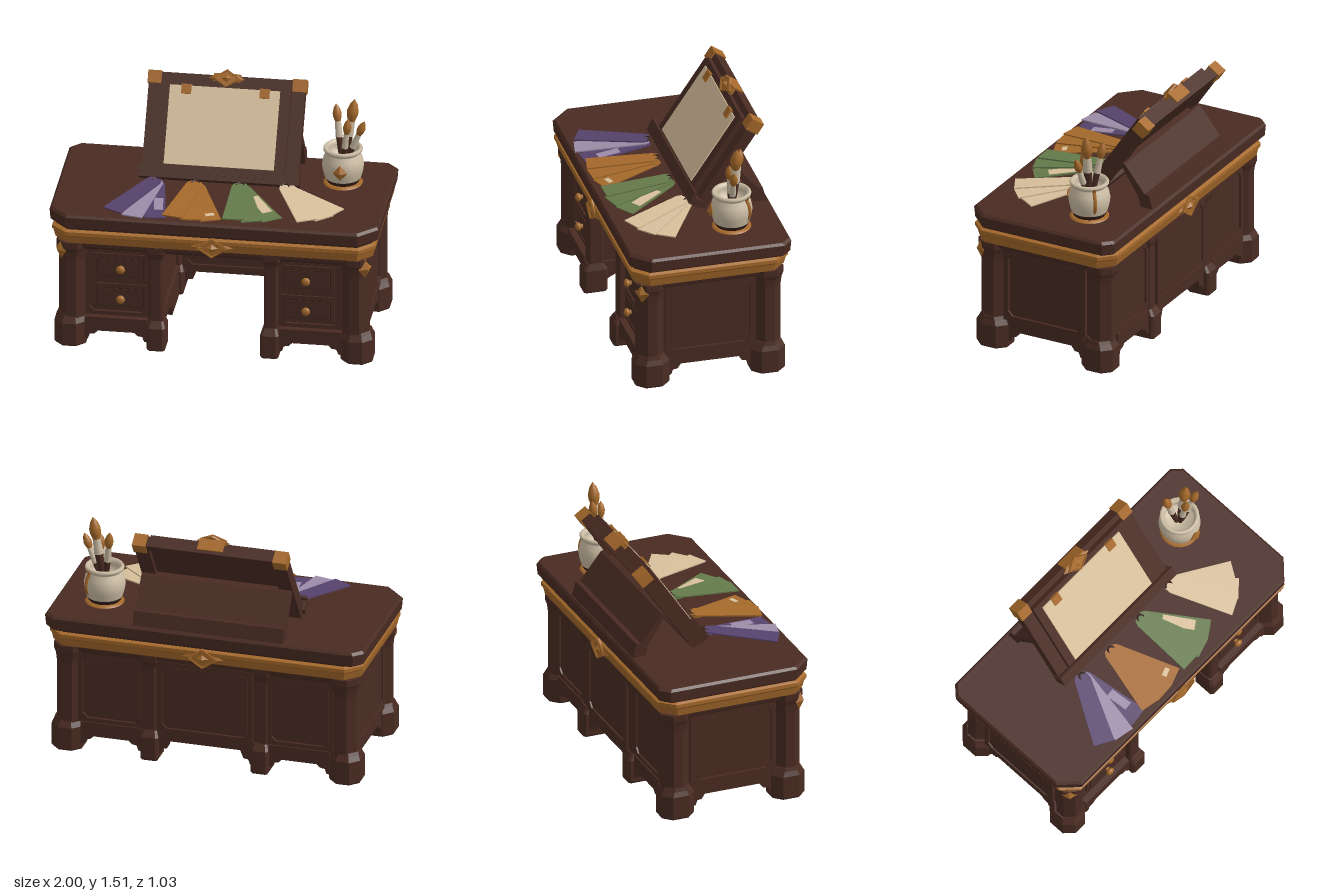
import * as THREE from 'three';

const mat = (name, color) => Object.assign(new THREE.MeshStandardMaterial({ color }), { name });
const wood = mat('brown wood', 0x492b22);
const dark = mat('dark wood', 0x38211b);
const gold = mat('antique gold', 0xa5692a);
const paper = mat('parchment', 0xd8c09c);
const ivory = mat('ivory glaze', 0xcdbea5);
const purple = mat('purple', 0x56426c);
const lilac = mat('lilac', 0x9d8ca8);
const green = mat('green', 0x647a4a);

function add(parent, name, geo, material, x = 0, y = 0, z = 0) {
  const m = new THREE.Mesh(geo, material);
  m.name = name;
  m.position.set(x, y, z);
  parent.add(m);
  return m;
}
// Box given by its limits
function box(parent, name, material, x0, x1, y0, y1, z0, z1) {
  return add(parent, name, new THREE.BoxGeometry(x1 - x0, y1 - y0, z1 - z0), material,
    (x0 + x1) / 2, (y0 + y1) / 2, (z0 + z1) / 2);
}
// Stack of chamfered rectangles, each level = [y, halfX, halfZ, front chamfer, back chamfer]
function loft(levels) {
  const rings = levels.map(([y, a, b, c, k = c]) => [[a, k - b], [a - k, -b], [k - a, -b], [-a, k - b],
    [-a, b - c], [c - a, b], [a - c, b], [a, b - c]].map(([x, z]) => [x, y, z]));
  const v = [], n = 8, top = rings.length - 1;
  for (let i = 0; i < n; i++) {
    const j = (i + 1) % n;
    for (let k = 0; k < top; k++) {
      const a = rings[k][i], b = rings[k][j], c = rings[k + 1][j], d = rings[k + 1][i];
      v.push(...a, ...b, ...c, ...a, ...c, ...d);
    }
    v.push(0, levels[top][0], 0, ...rings[top][i], ...rings[top][j]);
    v.push(0, levels[0][0], 0, ...rings[0][j], ...rings[0][i]);
  }
  const g = new THREE.BufferGeometry();
  g.setAttribute('position', new THREE.Float32BufferAttribute(v, 3));
  g.computeVertexNormals();
  return g;
}
const gem = (w, h, d) => new THREE.OctahedronGeometry(1).scale(w / 2, h / 2, d);
const polygon = pts => new THREE.Shape(pts.map(p => new THREE.Vector2(...p)));
const extrude = (shape, depth) => new THREE.ExtrudeGeometry(shape, { depth, bevelEnabled: false });

// Apron with stepped brackets, centred on its own width
function apron(w, top, bottom) {
  const h = w / 2, left = [[-h, top], [-h, 0.04], [-h + 0.02, 0.045], [-h + 0.03, 0.075],
    [-h + 0.06, 0.08], [-h + 0.08, bottom]];
  return extrude(polygon([...left, ...left.map(([x, y]) => [-x, y]).reverse()]), 0.05);
}
// Solid diamond badge with raised rim, gem and wings, facing +z
function badge(parent, name, w, h) {
  const g = new THREE.Group();
  g.name = name;
  add(g, 'badgePlate', extrude(polygon([[-w * 0.38, 0], [0, -h * 0.55], [w * 0.38, 0], [0, h * 0.55]]), 0.012), gold);
  add(g, 'badgeRim', new THREE.TorusGeometry(0.5, 0.06, 4, 4).scale(w * 0.72, h, 0.2), gold, 0, 0, 0.012);
  add(g, 'badgeGem', gem(w * 0.34, h * 0.5, 0.022), gold, 0, 0, 0.01);
  for (const s of [-1, 1]) add(g, 'badgeWing', gem(w * 0.45, h * 0.5, 0.016), gold, s * w * 0.3);
  parent.add(g);
  return g;
}
// Raised panel: flat field, frame and a dark reveal, facing +z
function panel(parent, name, w, h) {
  const g = new THREE.Group();
  g.name = name;
  const rect = (a, b, c) => [[-a, c - b], [c - a, -b], [a - c, -b], [a, c - b],
    [a, b - c], [a - c, b], [c - a, b], [-a, b - c]];
  const frame = polygon(rect(w / 2, h / 2, 0.001));
  frame.holes.push(new THREE.Path(rect(w / 2 - 0.03, h / 2 - 0.03, 0.03).map(p => new THREE.Vector2(...p))));
  add(g, 'panelFrame', extrude(frame, 0.022), wood);
  add(g, 'panelReveal', extrude(polygon(rect(w / 2 - 0.02, h / 2 - 0.02, 0.02)), 0.004), dark);
  add(g, 'panelField', extrude(polygon(rect(w / 2 - 0.035, h / 2 - 0.035, 0.027)), 0.014), wood);
  parent.add(g);
  return g;
}

function buildDesk(root) {
  add(root, 'deskTop', loft([[0.795, 0.975, 0.475, 0.1, 0.05], [0.81, 0.995, 0.492, 0.11, 0.055],
    [0.877, 1, 0.497, 0.11, 0.055], [0.892, 0.987, 0.485, 0.108, 0.055]]), wood);
  add(root, 'topMoulding', loft([[0.77, 0.955, 0.46, 0.08], [0.8, 0.965, 0.47, 0.08]]), wood);
  add(root, 'goldBand', loft([[0.688, 0.945, 0.445, 0.08], [0.698, 0.965, 0.468, 0.085], [0.745, 0.975, 0.48, 0.09],
    [0.755, 0.982, 0.489, 0.09], [0.778, 0.982, 0.489, 0.09], [0.787, 0.965, 0.472, 0.085]]), gold);
  add(root, 'frieze', loft([[0.635, 0.9, 0.41, 0.06], [0.66, 0.93, 0.435, 0.07], [0.7, 0.94, 0.44, 0.07]]), wood);
  badge(root, 'frontBadge', 0.25, 0.12).position.set(0, 0.735, 0.484);
  const rear = badge(root, 'rearBadge', 0.25, 0.12);
  rear.position.set(0, 0.735, -0.484);
  rear.rotation.y = Math.PI;

  for (const s of [-1, 1]) {
    const ped = new THREE.Group();
    ped.name = s > 0 ? 'leftPedestal' : 'rightPedestal';
    root.add(ped);
    add(ped, 'pedestalBody', new THREE.BoxGeometry(0.56, 0.55, 0.77), wood, s * 0.615, 0.385, -0.015);
    const side = panel(ped, 'sidePanel', 0.56, 0.47);
    side.position.set(s * 0.894, 0.42, 0);
    side.rotation.y = s * Math.PI / 2;
    const back = panel(ped, 'backPanel', 0.42, 0.47);
    back.position.set(s * 0.59, 0.42, -0.399);
    back.rotation.y = Math.PI;
    // Drawers
    panel(ped, 'drawerSurround', 0.41, 0.47).position.set(s * 0.585, 0.42, 0.368);
    for (const y of [0.315, 0.515]) {
      add(ped, 'drawerFront', new THREE.BoxGeometry(0.33, 0.175, 0.04), wood, s * 0.568, y, 0.372);
      add(ped, 'drawerReveal', new THREE.BoxGeometry(0.285, 0.125, 0.006), dark, s * 0.568, y, 0.391);
      add(ped, 'drawerField', new THREE.BoxGeometry(0.273, 0.114, 0.012), wood, s * 0.568, y, 0.392);
      add(ped, 'knobStem', new THREE.CylinderGeometry(0.012, 0.016, 0.03, 8).rotateX(Math.PI / 2), gold, s * 0.563, y, 0.408);
      add(ped, 'knob', new THREE.SphereGeometry(0.027, 10, 8).scale(1, 1, 0.7), gold, s * 0.563, y, 0.425);
    }
    // Posts and feet
    for (const f of [-1, 1]) {
      add(ped, 'cornerPost', loft([[0.15, 0.08, 0.08, 0.05], [0.57, 0.08, 0.08, 0.05],
        [0.62, 0.085, 0.085, 0.05], [0.65, 0.095, 0.095, 0.055], [0.69, 0.095, 0.095, 0.055]]), wood, s * 0.86, 0, f * 0.365);
      add(ped, 'cornerFoot', loft([[0, 0.09, 0.1, 0.05], [0.01, 0.097, 0.107, 0.055], [0.15, 0.097, 0.107, 0.055],
        [0.18, 0.085, 0.09, 0.05], [0.2, 0.08, 0.08, 0.05]]), wood, s * 0.87, 0, f * 0.36);
      add(ped, 'innerPost', loft([[0.15, 0.043, 0.05, 0.012], [0.6, 0.043, 0.05, 0.012],
        [0.64, 0.055, 0.06, 0.012], [0.68, 0.055, 0.06, 0.012]]), wood, s * 0.35, 0, f * 0.38);
      add(ped, 'innerFoot', loft([[0, 0.05, 0.07, 0.012], [0.01, 0.056, 0.076, 0.015], [0.15, 0.056, 0.076, 0.015],
        [0.19, 0.043, 0.05, 0.012]]), wood, s * 0.345, 0, f * 0.388);
      add(ped, 'apron', apron(0.38, 0.19, 0.1), wood, s * 0.59, 0, f * 0.405 - 0.025);
    }
    const sideApron = add(ped, 'sideApron', apron(0.52, 0.19, 0.11), wood, s * 0.88 - 0.025, 0, 0);
    sideApron.rotation.y = Math.PI / 2;
    // Inner apron running into a long rear foot
    const inner = polygon([[-0.34, 0.19], [-0.34, 0.04], [-0.3, 0.08], [-0.24, 0.11], [-0.08, 0.11],
      [-0.03, 0.08], [0.03, 0.07], [0.04, 0], [0.4, 0], [0.4, 0.19]]);
    add(ped, 'innerApron', extrude(inner, 0.06).rotateY(Math.PI / 2), wood, s * 0.345 - 0.03);
    // Gold lozenge on the chamfered front corner
    const lozenge = add(ped, 'cornerLozenge', gem(0.1, 0.13, 0.03), gold, s * 0.924, 0.635, 0.428);
    lozenge.rotation.y = s * Math.PI / 4;
  }
  // Kneehole back
  box(root, 'kneeholeBack', wood, -0.34, 0.34, 0.14, 0.66, -0.42, -0.385);
  panel(root, 'kneeholePanel', 0.6, 0.49).position.set(0, 0.4, -0.386);
  const outer = panel(root, 'middleBackPanel', 0.6, 0.47);
  outer.position.set(0, 0.42, -0.414);
  outer.rotation.y = Math.PI;
  add(root, 'kneeholeApron', apron(0.6, 0.2, 0.13), wood, 0, 0, -0.43);
}

function buildEasel(root) {
  const e = new THREE.Group();
  e.name = 'easel';
  e.position.set(-0.03, 0.92, -0.03);
  e.rotation.x = -0.594;
  root.add(e);
  const frame = polygon([[-0.475, 0], [0.475, 0], [0.475, 0.645], [-0.475, 0.645]]);
  frame.holes.push(new THREE.Path([[-0.385, 0.07], [-0.385, 0.6], [0.385, 0.6], [0.385, 0.07]].map(p => new THREE.Vector2(...p))));
  add(e, 'easelFrame', extrude(frame, 0.07), wood, 0, 0, -0.07);
  // Drawing board standing proud of the frame, with the sheet on it
  box(e, 'drawingBoard', wood, -0.395, 0.395, 0.03, 0.605, -0.045, 0.034);
  box(e, 'sheet', paper, -0.34, 0.33, 0.085, 0.567, 0.034, 0.042);
  box(e, 'easelLedge', wood, -0.49, 0.49, 0, 0.05, -0.03, 0.05);
  box(e, 'ledgeLip', wood, -0.49, 0.49, 0.03, 0.075, 0.036, 0.055);
  for (const s of [-1, 1]) {
    box(e, 'cornerCap', gold, s * 0.44 - 0.042, s * 0.44 + 0.042, 0.575, 0.652, -0.078, 0.008);
    box(e, 'sheetClip', gold, s * 0.238 - 0.03, s * 0.238 + 0.03, 0.515, 0.575, 0.03, 0.052);
  }
  badge(e, 'easelCrest', 0.21, 0.1).position.set(0, 0.625, 0.028);
  box(e, 'crestBase', gold, -0.08, 0.08, 0.6, 0.655, -0.05, 0.03);
  // Sloping prop ending in a foot rail
  const prop = extrude(polygon([[0.25, 1.16], [0.29, 1.15], [0.425, 0.98], [0.455, 0.98],
    [0.48, 0.885], [0.40, 0.885], [0.38, 0.96]]), 0.94);
  add(root, 'easelProp', prop.rotateY(Math.PI / 2), wood, -0.5, 0, 0);
}

function buildPot(root) {
  const pot = new THREE.Group();
  pot.name = 'brushPot';
  pot.position.set(0.7, 0.89, -0.19);
  root.add(pot);
  const lathe = pts => new THREE.LatheGeometry(pts.map(p => new THREE.Vector2(...p)), 24);
  add(pot, 'potBaseRing', lathe([[0, 0], [0.115, 0], [0.12, 0.008], [0.1, 0.018], [0, 0.018]]), gold);
  add(pot, 'potFoot', lathe([[0.092, 0.012], [0.1, 0.025], [0.109, 0.045]]), dark);
  add(pot, 'potBody', lathe([[0.109, 0.045], [0.122, 0.09], [0.127, 0.13], [0.118, 0.175], [0.1, 0.203],
    [0.102, 0.212], [0.118, 0.222], [0.12, 0.235], [0.112, 0.245], [0.095, 0.24], [0.088, 0.215], [0.095, 0.15], [0, 0.14]]), ivory);
  add(pot, 'potLozenge', gem(0.09, 0.1, 0.025), gold, 0, 0.125, 0.13);
  const strap = new THREE.CatmullRomCurve3([[0.075, 0.07], [0.09, 0.12], [0.083, 0.175], [0.073, 0.21], [0.084, 0.235]]
    .map(([r, y]) => new THREE.Vector3(r, y, -r)));
  add(pot, 'potStrap', new THREE.TubeGeometry(strap, 12, 0.012, 6), gold);

  // Brushes: tip position, bristle radius, bristle length
  const brushes = [[0.648, 1.385, -0.26, 0.027, 0.11], [0.77, 1.45, -0.205, 0.035, 0.145],
    [0.835, 1.32, -0.17, 0.025, 0.1], [0.735, 1.33, -0.165, 0.025, 0.1]];
  for (const [x, y, z, r, len] of brushes) {
    const base = new THREE.Vector3(0.7 + (x - 0.72) * 0.15, 1.03, -0.19 + (z + 0.19) * 0.2);
    const dir = new THREE.Vector3(x, y, z).sub(base);
    const neck = dir.length() - len, mid = neck - 0.1;
    const b = new THREE.Group();
    b.name = 'brush';
    b.position.copy(base);
    b.quaternion.setFromUnitVectors(new THREE.Vector3(0, 1, 0), dir.normalize());
    root.add(b);
    add(b, 'brushHandle', new THREE.CylinderGeometry(r * 0.75, r * 0.5, mid, 10), wood, 0, mid / 2);
    add(b, 'brushFerrule', new THREE.CylinderGeometry(r * 0.68, r * 0.82, 0.1, 10), ivory, 0, mid + 0.05);
    add(b, 'brushBristles', lathe([[r * 0.65, 0], [r * 0.95, len * 0.25], [r, len * 0.45], [r * 0.65, len * 0.75], [0, len]]), gold, 0, neck);
  }
}

// Fans of colour cards: pivot x, z, then [angle, length, material, patch material, patch x0, x1, start, end]
const fans = [
  ['purpleCards', -0.40, 0.03, [[-0.50, 0.45, purple], [-0.2, 0.45, lilac], [0.12, 0.43, purple, lilac, -0.01, 0.045, 0.2, 0.34]]],
  ['amberCards', -0.16, 0.04, [[-0.2, 0.43, gold], [0.07, 0.43, gold], [0.35, 0.43, gold, paper, -0.02, 0.035, 0.35, 0.38]]],
  ['greenCards', 0.11, 0.03, [[0.03, 0.42, green], [0.3, 0.43, green], [0.6, 0.43, green, paper, -0.02, 0.045, 0.14, 0.34]]],
  ['creamCards', 0.38, 0.01, [[0.45, 0.43, paper], [0.72, 0.43, paper], [1.0, 0.41, paper]]],
];
function buildCards(root) {
  for (const [name, x, z, cards] of fans) {
    const fan = new THREE.Group();
    fan.name = name;
    fan.position.set(x, 0.93, z);
    root.add(fan);
    cards.forEach(([angle, L, m, patch, x0, x1, start, end], i) => {
      const shape = polygon([[-0.065, -L], [0.065, -L], [0.05, -0.03], [0.035, 0], [-0.035, 0], [-0.05, -0.03]]);
      const card = add(fan, 'card', extrude(shape, 0.008).rotateX(-Math.PI / 2), m, 0, 0.012 - i * 0.01, 0);
      card.rotation.set(0.075, angle, 0, 'YXZ');
      if (patch) box(card, 'cardPatch', patch, x0, x1, 0.006, 0.01, start, end);
    });
    const ring = add(fan, 'cardRing', new THREE.TorusGeometry(0.022, 0.006, 6, 14), dark, 0, 0.015, 0.015);
    ring.rotation.x = -1.2;
  }
}

export function createModel() {
  const root = new THREE.Group();
  root.name = 'artistDesk';
  buildDesk(root);
  buildEasel(root);
  buildPot(root);
  buildCards(root);
  return root;
}
